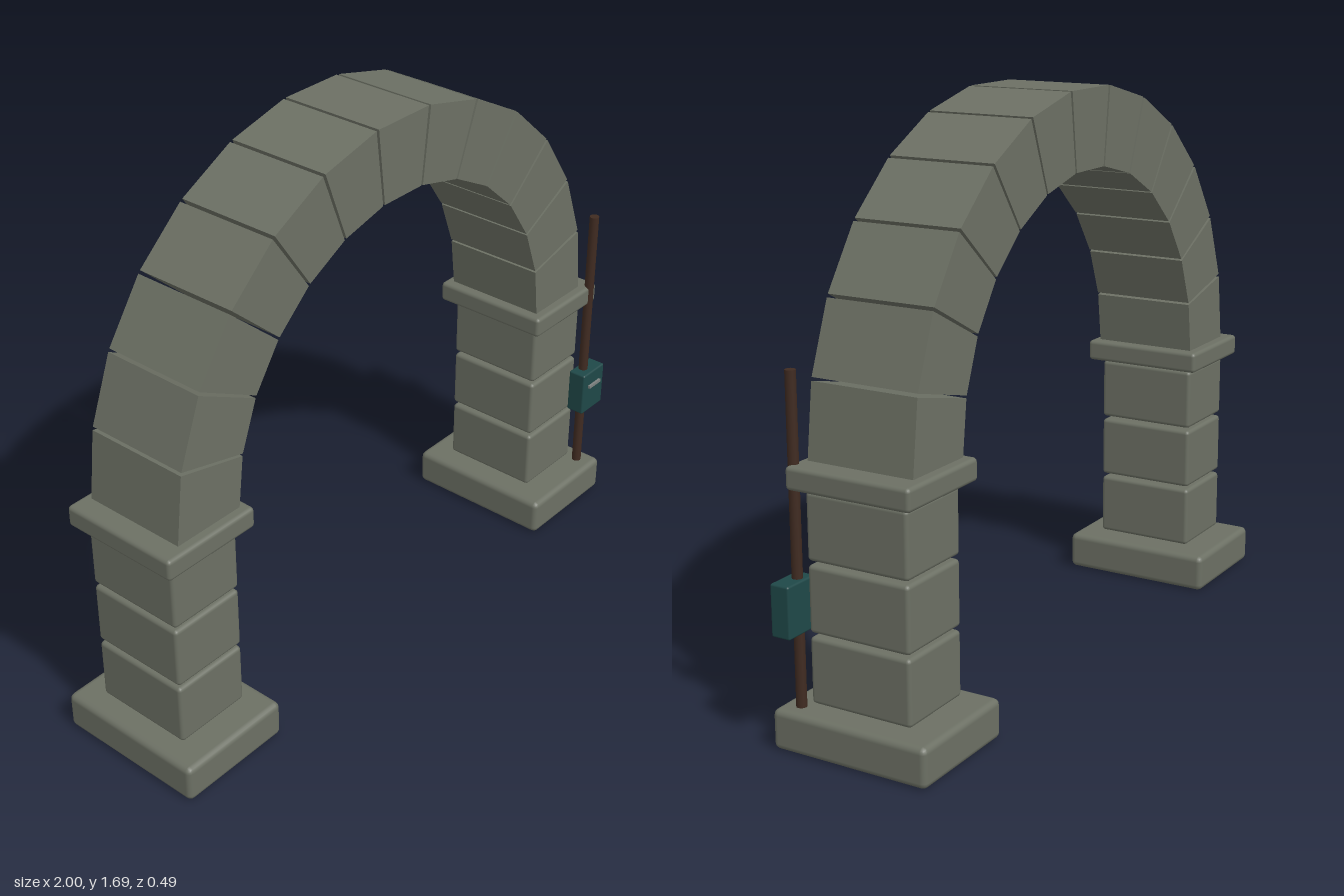
import * as THREE from 'three';
import { RoundedBoxGeometry } from 'three/addons/geometries/RoundedBoxGeometry.js';

export function createModel() {
  const model = new THREE.Group();
  const material = (name, color) => {
    const m = new THREE.MeshStandardMaterial({ color });
    m.name = name;
    return m;
  };
  const stone = material('stone', 0x6c7064);
  const rust = material('rusty brown', 0x402b21);
  const teal = material('dark teal', 0x1f4848);
  const metal = material('grey metal', 0x7c8280);

  const add = (parent, name, geometry, mat, x, y, z) => {
    const mesh = new THREE.Mesh(geometry, mat);
    mesh.name = name;
    mesh.position.set(x, y, z);
    parent.add(mesh);
    return mesh;
  };
  // Box with softened edges, placed by its bottom and top heights
  const block = (parent, name, w, d, y0, y1, r, mat, x = 0, z = 0) =>
    add(parent, name, new RoundedBoxGeometry(w, y1 - y0, d, 2, r), mat, x, (y0 + y1) / 2, z);

  const arch = new THREE.Group();
  arch.name = 'stoneArch';
  arch.position.x = -0.0075;
  model.add(arch);

  // Two piers: plinth, three stacked blocks and a projecting cap
  for (const side of [-1, 1]) {
    const pier = new THREE.Group();
    pier.name = side > 0 ? 'leftPier' : 'rightPier';
    pier.position.x = side * 0.807;
    block(pier, 'plinth', 0.37, 0.488, 0, 0.115, 0.018, stone);
    for (let i = 0; i < 3; i++) {
      const y = 0.126 + i * 0.2005;
      block(pier, 'pierBlock', 0.244, 0.318, y, y + 0.19, 0.012, stone);
    }
    block(pier, 'pierCap', 0.322, 0.386, 0.725, 0.79, 0.012, stone);
    arch.add(pier);
  }

  // Ring of wedge stones with narrow joints
  const count = 13, inner = 0.675, outer = 0.905, depth = 0.328;
  const step = Math.PI / count, half = step / 2 - 0.0055;
  const at = (r, a) => new THREE.Vector2(r * Math.sin(a), r * Math.cos(a));
  const wedge = new THREE.ExtrudeGeometry(
    new THREE.Shape([at(inner, -half), at(inner, half), at(outer, half), at(outer, -half)]),
    { depth, bevelEnabled: false }
  );
  wedge.translate(0, 0, -depth / 2);
  for (let i = 0; i < count; i++) {
    const isKey = i === (count - 1) / 2;
    const mesh = add(arch, isKey ? 'keystone' : 'archStone', wedge, stone, 0, 0.788, 0);
    mesh.rotation.z = (i - (count - 1) / 2) * step;
  }

  // Post with a small box, standing on the left plinth
  const post = new THREE.Group();
  post.name = 'postWithBox';
  add(post, 'post', new THREE.CylinderGeometry(0.015, 0.015, 0.93, 12), rust, 0.929, 0.575, 0.186);
  block(post, 'box', 0.115, 0.06, 0.33, 0.478, 0.006, teal, 0.9425, 0.192);
  add(post, 'boxSlot', new THREE.BoxGeometry(0.062, 0.01, 0.008), metal, 0.9425, 0.427, 0.2255);
  model.add(post);

  return model;
}
